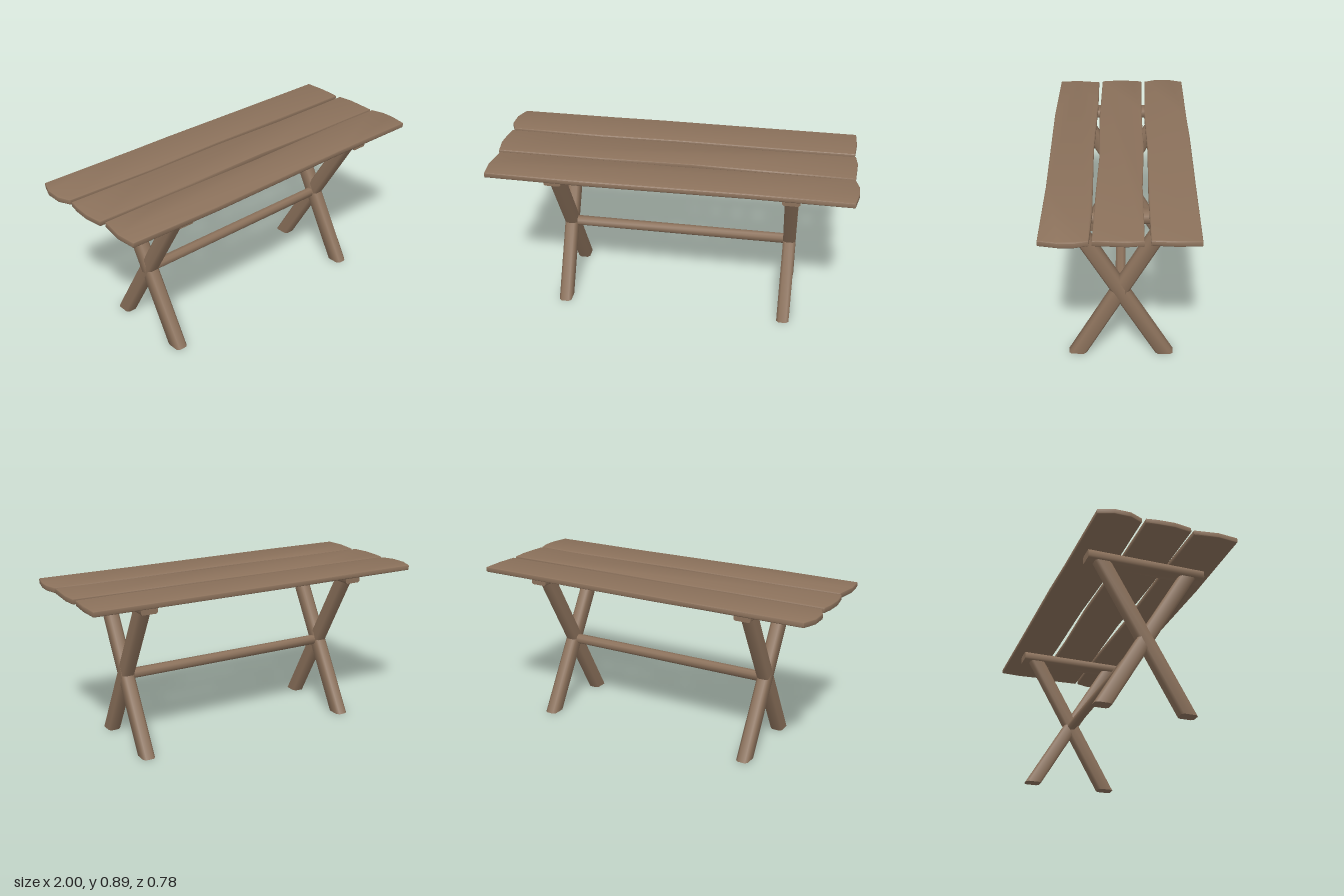
import * as THREE from 'three';
import { toCreasedNormals } from 'three/addons/utils/BufferGeometryUtils.js';

const wood = new THREE.MeshStandardMaterial({ color: 0x8b715b });
wood.name = 'weathered wood';

// Upright beam of chamfered rectangular section, standing on y = 0
function beam(width, depth, length, chamfer) {
  const w = width / 2, d = depth / 2, c = chamfer;
  const section = new THREE.Shape([
    [-w + c, -d], [w - c, -d], [w, -d + c], [w, d - c],
    [w - c, d], [-w + c, d], [-w, d - c], [-w, -d + c],
  ].map(([x, y]) => new THREE.Vector2(x, y)));
  return new THREE.ExtrudeGeometry(section, { depth: length, bevelEnabled: false }).rotateX(-Math.PI / 2);
}

function addMesh(parent, name, geometry) {
  const mesh = new THREE.Mesh(toCreasedNormals(geometry, Math.PI * 0.28), wood);
  mesh.name = name;
  parent.add(mesh);
  return mesh;
}

// Leg slanted along z, with its foot and head cut level
function slantedLeg(footZ, headZ, height) {
  const shear = new THREE.Matrix4();
  shear.elements[6] = (headZ - footZ) / height;
  return beam(0.07, 0.094, height, 0.014).applyMatrix4(shear).translate(0, 0, footZ);
}

// Hand-cut plank from an outline of [x, z] points, with softened edges
function plank(outline) {
  const b = 0.005;
  const shape = new THREE.Shape(outline.map(([x, z]) => new THREE.Vector2(x, -z)));
  return new THREE.ExtrudeGeometry(shape, {
    depth: 0.03 - 2 * b, bevelThickness: b, bevelSize: b, bevelOffset: -b, bevelSegments: 2,
  }).rotateX(-Math.PI / 2).translate(0, 0.86 + b, 0);
}

export function createModel() {
  const table = new THREE.Group();
  table.name = 'trestleTable';

  // Table top: three uneven planks
  const planks = {
    backPlank: [
      [-0.97, -0.39], [-0.42, -0.39], [-0.15, -0.394], [0.43, -0.391], [0.98, -0.39],
      [0.985, -0.27], [0.975, -0.15], [0.5, -0.146], [0, -0.152], [-0.45, -0.142],
      [-0.8, -0.15], [-0.97, -0.153], [-1, -0.22], [-1, -0.31],
    ],
    middlePlank: [
      [-0.975, -0.132], [-0.5, -0.126], [0, -0.131], [0.45, -0.118], [0.98, -0.12],
      [0.99, -0.04], [0.98, 0.126], [0.5, 0.12], [0.1, 0.111], [-0.4, 0.122],
      [-0.975, 0.116], [-0.99, 0.02], [-0.985, -0.07],
    ],
    frontPlank: [
      [-0.96, 0.138], [-0.6, 0.134], [0, 0.144], [0.7, 0.132], [0.98, 0.14],
      [1, 0.21], [1, 0.28], [0.98, 0.38], [0.45, 0.376], [-0.45, 0.388],
      [-0.97, 0.38], [-0.98, 0.27],
    ],
  };
  for (const [name, outline] of Object.entries(planks)) addMesh(table, name, plank(outline));

  // Crossed legs and the bearer above them, at each end
  for (const [side, x] of [['right', -0.615], ['left', 0.656]]) {
    const trestle = new THREE.Group();
    trestle.name = side + 'Trestle';
    trestle.position.x = x;
    addMesh(trestle, 'frontFootLeg', slantedLeg(0.222, -0.242, 0.82));
    addMesh(trestle, 'backFootLeg', slantedLeg(-0.24, 0.245, 0.82));
    addMesh(trestle, 'bearer',
      beam(0.094, 0.047, 0.663, 0.008).rotateX(Math.PI / 2).translate(0, 0.8375, -0.33));
    table.add(trestle);
  }

  // Stretcher joining the two crossings
  addMesh(table, 'stretcher',
    beam(0.052, 0.052, 1.25, 0.014).rotateZ(-Math.PI / 2).translate(-0.605, 0.395, -0.005));

  return table;
}
